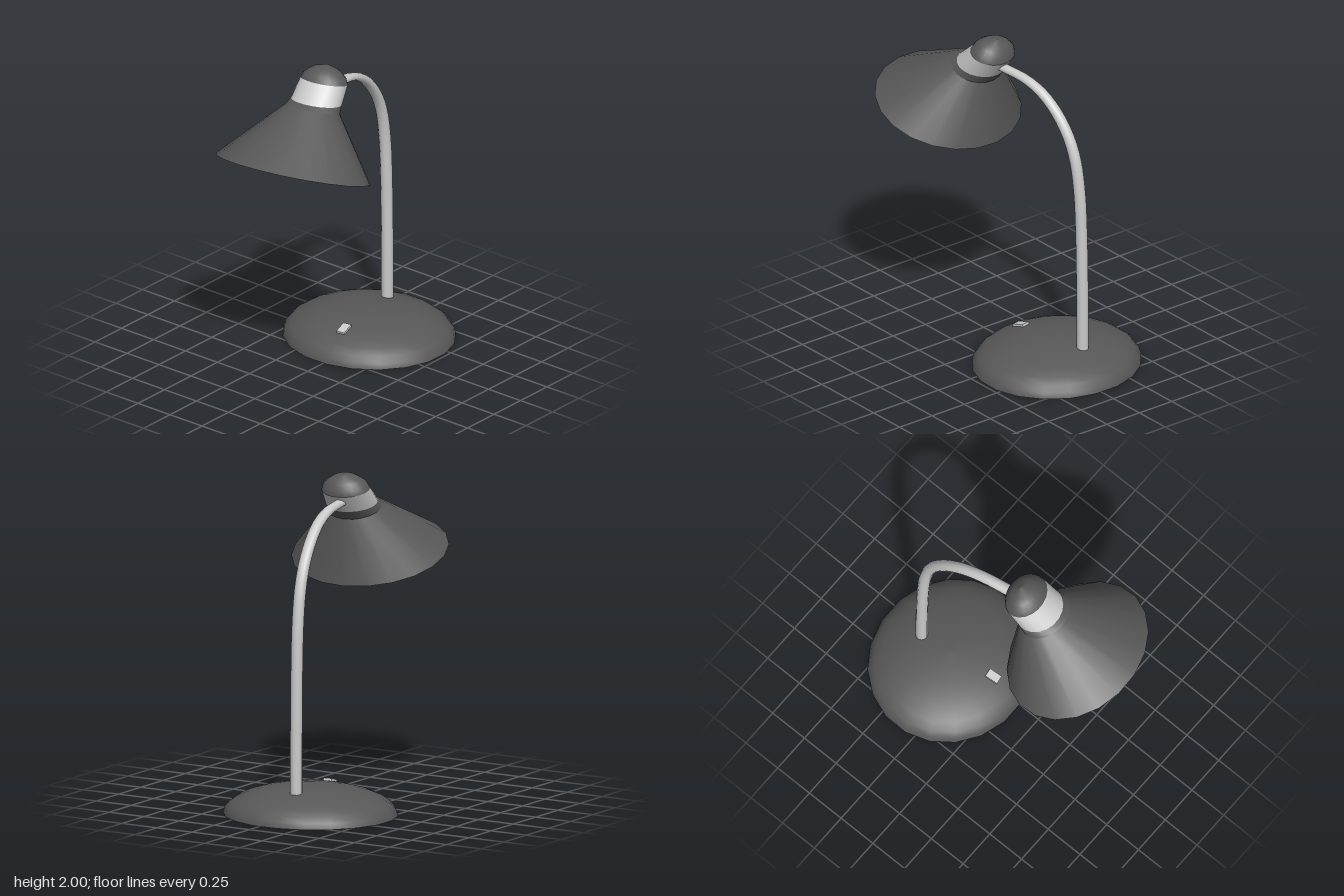
import * as THREE from 'three';

const SIDES = 20;
const light = new THREE.MeshStandardMaterial({ color: 0xcccccc });
const dark = new THREE.MeshStandardMaterial({ color: 0x585858 });

// Skins a row of elliptical rings [centreZ, centreY, halfX, halfZ, tiltRise].
// Listed top to bottom the skin faces outward, bottom to top it faces inward.
function loft(rings) {
  const pos = [], index = [];
  for (const [z, y, a, h, rise] of rings) {
    for (let j = 0; j < SIDES; j++) {
      const t = (j / SIDES) * Math.PI * 2;
      pos.push(a * Math.cos(t), y + rise * Math.sin(t), z + h * Math.sin(t));
    }
  }
  for (let i = 0; i < rings.length - 1; i++) {
    for (let j = 0; j < SIDES; j++) {
      const k = (j + 1) % SIDES;
      const a = i * SIDES + j, b = i * SIDES + k;
      index.push(a, b, a + SIDES, b, b + SIDES, a + SIDES);
    }
  }
  const g = new THREE.BufferGeometry();
  g.setAttribute('position', new THREE.Float32BufferAttribute(pos, 3));
  g.setIndex(index);
  g.computeVertexNormals();
  return g;
}

function add(parent, name, geometry, material) {
  const mesh = new THREE.Mesh(geometry, material);
  mesh.name = name;
  parent.add(mesh);
  return mesh;
}

export function createModel() {
  const model = new THREE.Group();
  const lamp = new THREE.Group();
  lamp.name = 'deskLamp';
  lamp.position.set(-0.05, 0, -0.39);
  lamp.rotation.y = 0.15;
  model.add(lamp);

  // Domed oval foot with a flat underside
  const A = 0.535, B = 0.498, H = 0.185;
  const dome = [];
  for (let i = 0; i <= 8; i++) {
    const p = (i / 8) * Math.PI / 2;
    const r = Math.max(Math.sin(p), 0.001);
    dome.push([0, H * Math.cos(p), A * r, B * r, 0]);
  }
  add(lamp, 'base', loft(dome), dark);
  add(lamp, 'baseUnderside', loft([[0, 0, A, B, 0], [0, 0, 0.001, 0.001, 0]]), dark);

  // Switch lying on the slope of the foot
  const button = add(lamp, 'switch', new THREE.BoxGeometry(0.055, 0.024, 0.085), light);
  button.position.set(0, 0.15, 0.293);
  button.rotation.x = 0.27;

  // Bent stem, flattened in height toward the head
  const path = new THREE.CatmullRomCurve3([
    [0.12, -0.212], [0.6, -0.21], [1.0, -0.2], [1.2, -0.187], [1.4, -0.153], [1.54, -0.097],
    [1.67, 0.0], [1.76, 0.115], [1.81, 0.245], [1.826, 0.39], [1.832, 0.49],
  ].map(([y, z]) => new THREE.Vector3(0, y, z)));
  const steps = 40, radial = 12;
  const stem = new THREE.TubeGeometry(path, steps, 0.037, radial);
  const p = stem.attributes.position;
  for (let i = 0; i <= steps; i++) {
    const c = path.getPointAt(i / steps);
    for (let j = 0; j <= radial; j++) {
      const v = i * (radial + 1) + j;
      p.setY(v, c.y + (p.getY(v) - c.y) * 0.62);
    }
  }
  add(lamp, 'stem', stem, light);

  // Head, built on tilted rings
  const head = new THREE.Group();
  head.name = 'head';
  lamp.add(head);
  const bandTop = [0.526, 0, 0.152, 0.119, 0.033];
  bandTop[1] = 1.903;
  const bandLow = [0.617, 1.803, 0.16, 0.141, 0.035];
  const neck = [0.659, 1.77, 0.172, 0.14, 0.055];
  const rim = [0.89, 1.4625, 0.489, 0.402, 0.1525];
  const mouth = [0.89, 1.4625, 0.43, 0.354, 0.134];

  add(head, 'cap', loft([
    [0.488, 1.998, 0.001, 0.001, 0],
    [0.498, 1.98, 0.075, 0.058, 0.018],
    [0.506, 1.963, 0.105, 0.078, 0.023],
    [0.515, 1.935, 0.138, 0.107, 0.03],
    bandTop,
  ]), dark);
  add(head, 'collar', loft([bandTop, bandLow]), light);
  add(head, 'shadeNeck', loft([bandLow, neck]), dark);
  add(head, 'shade', loft([neck, rim]), dark);
  add(head, 'shadeLip', loft([rim, mouth]), dark);
  add(head, 'shadeInside', loft([mouth, [0.664, 1.75, 0.145, 0.118, 0.046]]), dark);
  add(head, 'shadeInsideTop', loft([
    [0.664, 1.75, 0.145, 0.118, 0.046], [0.664, 1.75, 0.001, 0.001, 0],
  ]), dark);
  return model;
}
